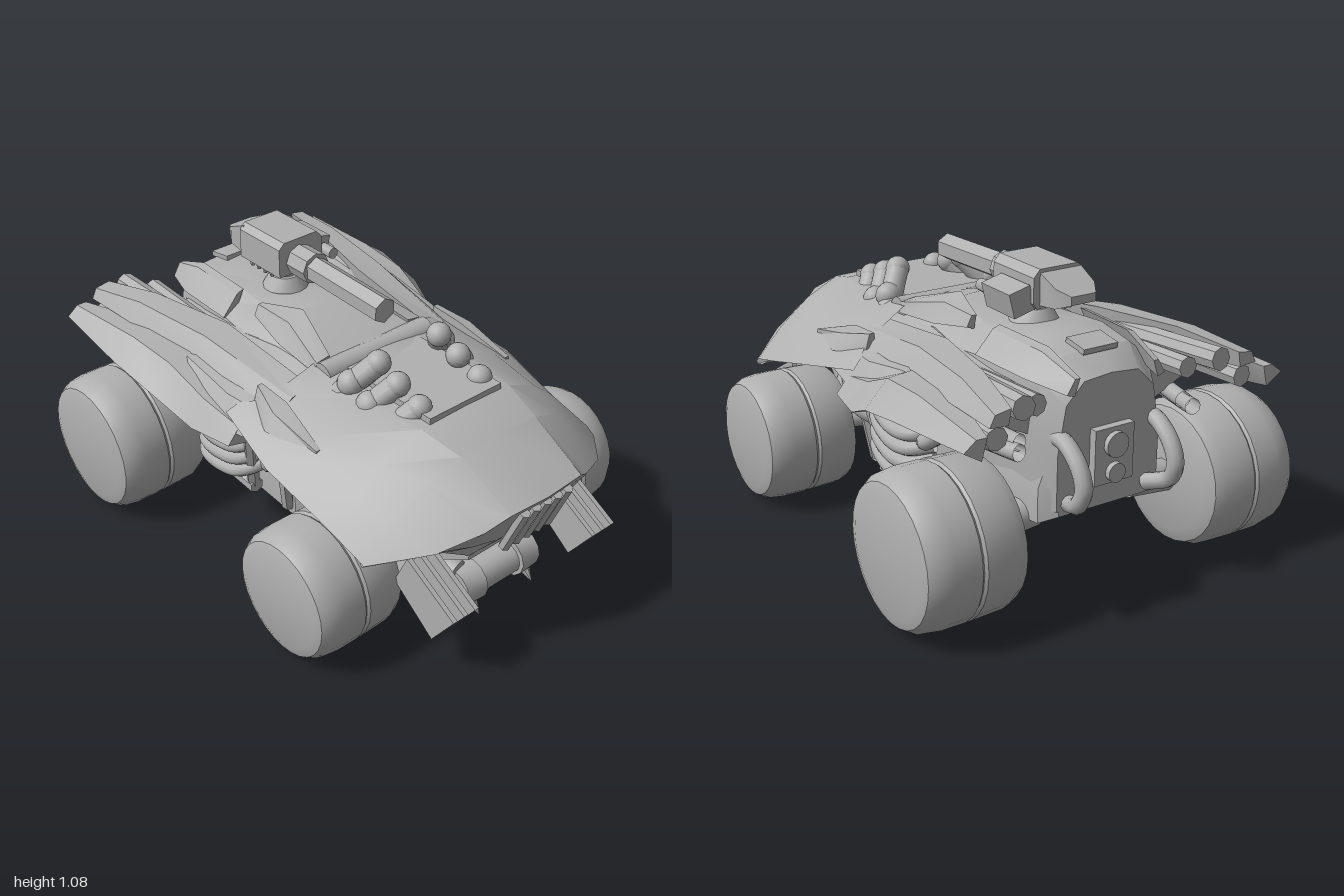
import * as THREE from 'three';
import { toCreasedNormals } from 'three/addons/utils/BufferGeometryUtils.js';

const V = (p) => new THREE.Vector3(...p);

export function createModel() {
  const root = new THREE.Group();
  const grey = new THREE.MeshStandardMaterial({ color: 0xb0b0b0, side: THREE.DoubleSide });
  grey.name = 'plainGrey';

  const add = (name, geo, x = 0, y = 0, z = 0) => {
    const m = new THREE.Mesh(geo, grey);
    m.name = name;
    m.position.set(x, y, z);
    root.add(m);
    return m;
  };
  // skin through rows of points; closed rows are capped at both ends
  const loft = (name, rows, closed, crease = 0.5) => {
    const n = rows[0].length, pos = rows.flat(2), idx = [];
    for (let i = 0; i < rows.length - 1; i++)
      for (let j = 0; j < (closed ? n : n - 1); j++) {
        const a = i * n + j, b = i * n + (j + 1) % n;
        idx.push(a, a + n, b, b, a + n, b + n);
      }
    if (closed) for (const o of [0, (rows.length - 1) * n])
      for (let j = 1; j < n - 1; j++) idx.push(o, o + (o ? j + 1 : j), o + (o ? j : j + 1));
    const g = new THREE.BufferGeometry();
    g.setAttribute('position', new THREE.Float32BufferAttribute(pos, 3));
    g.setIndex(idx);
    return add(name, toCreasedNormals(g, crease));
  };
  // half rows (centre to side) mirrored across x = 0
  const both = (row) => [...row.slice().reverse().map(([x, y, z]) => [-x, y, z]), ...row];
  // one-sided bar from rows of [z, [x, y], ...]
  const bar = (name, s, rows) => loft(name, rows.map(([z, ...r]) => r.map(([x, y]) => [s * x, y, z])), true);
  const rod = (name, a, b, r0, r1 = r0, sides = 14) => {
    const d = V(b).sub(V(a));
    const m = add(name, toCreasedNormals(new THREE.CylinderGeometry(r1, r0, d.length(), sides), 0.7));
    m.position.copy(V(a).addScaledVector(d, 0.5));
    m.quaternion.setFromUnitVectors(new THREE.Vector3(0, 1, 0), d.normalize());
    return m;
  };
  const pipe = (name, pts, r) => add(name, new THREE.TubeGeometry(new THREE.CatmullRomCurve3(pts.map(V)), 24, r, 10));
  const box = (name, w, h, d, x, y, z) => add(name, new THREE.BoxGeometry(w, h, d), x, y, z);

  // bonnet shell, front to back
  const lip = [[0, .635, .98], [.17, .635, .97], [.25, .58, .93], [.4, .53, .86], [.57, .47, .7]];
  loft('bonnet', [
    lip,
    [[0, .755, .74], [.18, .75, .74], [.32, .69, .72], [.45, .59, .71], [.575, .49, .66]],
    [[0, .795, .58], [.21, .79, .58], [.37, .71, .56], [.48, .62, .55], [.577, .53, .5]],
    [[0, .8, .3], [.24, .79, .3], [.42, .71, .3], [.52, .66, .3], [.595, .61, .22]],
    [[0, .84, .06], [.25, .82, .06], [.43, .73, .02], [.5, .7, -.06], [.54, .67, -.08]],
  ].map(both), false, 0.45);
  loft('noseUnderside', [
    lip,
    [[0, .46, .89], [.14, .47, .89], [.24, .48, .87], [.4, .49, .8], [.57, .46, .69]],
    [[0, .39, .82], [.2, .39, .82], [.28, .42, .78], [.4, .45, .74], [.56, .46, .67]],
    [[0, .36, .7], [.2, .37, .7], [.25, .42, .66], [.35, .5, .6], [.5, .55, .55]],
  ].map(both), false, 0.4);
  for (let i = -2; i <= 2; i++)
    rod('grilleBar', [i * .052, .615, .97], [i * .052, .425, .89], .021, .021, 6);

  // lower tub: z, half width, bottom, top
  loft('chassis', [
    [.82, .2, .37, .42], [.62, .22, .26, .6], [.25, .27, .21, .62], [.1, .38, .22, .62],
    [-.3, .38, .25, .62], [-.45, .28, .27, .6], [-.8, .25, .3, .55], [-.85, .2, .33, .5],
  ].map(([z, w, b, t]) => both([[0, t, z], [w * .8, t, z], [w, (t + b) / 2, z], [w, b, z], [0, b, z]])), true);

  // cabin running back into the rounded tail: z, then half outline
  loft('cabin', [
    [.1, [0, .83], [.2, .82], [.26, .76], [.3, .6], [.3, .35]],
    [-.15, [0, .905], [.13, .895], [.25, .8], [.3, .6], [.3, .35]],
    [-.34, [0, .855], [.16, .85], [.27, .78], [.32, .6], [.29, .35]],
    [-.6, [0, .885], [.15, .875], [.25, .8], [.28, .6], [.26, .35]],
    [-.76, [0, .865], [.14, .855], [.22, .79], [.25, .6], [.25, .35]],
    [-.85, [0, .8], [.11, .79], [.18, .72], [.21, .55], [.21, .35]],
  ].map(([z, ...r]) => both([...r.map(([x, y]) => [x, y, z]), [0, .35, z]])), true, 0.6);
  box('tailPanel', .16, .2, .04, 0, .52, -.86);
  box('tailVent', .14, .02, .1, 0, .87, -.74).rotation.x = -.15;
  rod('tailLamp', [0, .56, -.86], [0, .56, -.9], .045);
  rod('tailLamp', [0, .46, -.86], [0, .46, -.9], .035);
  rod('crossTube', [-.25, .79, .11], [.25, .79, .11], .05);
  box('bonnetPanel', .34, .03, .44, 0, .8, .36);

  // wheel: two tyre halves with a groove between them
  const wheel = (name, s, z, R, a, b) => {
    const m = (a + b) / 2 - .005;
    const prof = [[0, a], [R * .75, a], [R * .92, a + .02], [R * .985, a + .06], [R, m - .01], [R * .97, m],
      [R, m + .01], [R, b - .1], [R * .97, b - .045], [R * .89, b - .012], [R * .75, b], [0, b]];
    const g = new THREE.LatheGeometry(prof.map(([r, x]) => new THREE.Vector2(r, x)), 28);
    g.rotateZ(-s * Math.PI / 2);
    add(name, toCreasedNormals(g, 0.6), 0, R + .008, z);
  };

  // fang blade outline in the z-y plane
  const fang = new THREE.Shape([[.96, .3], [.73, .43], [.67, .3], [.86, .16]].map(([z, y]) => new THREE.Vector2(-z, y)));

  for (const s of [-1, 1]) {
    wheel('frontWheel', s, .453, .245, .36, .74);
    wheel('rearWheel', s, -.703, .275, .375, .77);
    rod('rearAxle', [s * .2, .3, -.7], [s * .4, .28, -.7], .06);
    for (const [y, z] of [[.38, .4], [.25, .38], [.25, .56]])
      rod('suspensionArm', [s * .15, y, z], [s * .4, .26, .455], .035);
    rod('steeringRod', [s * .15, .24, .68], [s * .34, .25, .6], .04);
    rod('damper', [s * .22, .55, .45], [s * .36, .28, .45], .045);

    // shoulder between cabin and fins
    bar('shoulder', s, [
      [.14, [.24, .78], [.46, .69], [.52, .62], [.28, .5]],
      [-.12, [.24, .8], [.5, .71], [.56, .6], [.28, .52]],
      [-.35, [.24, .79], [.5, .75], [.6, .64], [.28, .58]],
      [-.62, [.24, .76], [.46, .74], [.54, .68], [.27, .6]],
      [-.74, [.22, .74], [.36, .72], [.4, .67], [.25, .6]],
    ]);
    bar('lowerFin', s, [
      [-.02, [.5, .63], [.53, .63], [.58, .57], [.5, .55]],
      [-.2, [.42, .7], [.55, .67], [.615, .57], [.5, .55]],
      [-.38, [.42, .76], [.57, .745], [.66, .65], [.55, .61]],
      [-.6, [.46, .77], [.58, .76], [.675, .69], [.56, .62]],
      [-.97, [.56, .745], [.6, .745], [.645, .71], [.58, .67]],
    ]);
    bar('upperFin', s, [
      [.1, [.3, .77], [.38, .75], [.43, .71], [.32, .68]],
      [-.35, [.32, .83], [.43, .82], [.48, .74], [.33, .7]],
      [-.7, [.4, .84], [.48, .83], [.53, .76], [.42, .74]],
      [-.95, [.46, .81], [.52, .8], [.54, .76], [.47, .755]],
    ]);
    rod('exhaustTube', [s * .36, .75, -.25], [s * .4, .79, -.93], .042, .042, 8);
    rod('exhaustTube', [s * .31, .73, -.3], [s * .31, .76, -.87], .038, .038, 8);
    rod('exhaustTube', [s * .46, .7, -.3], [s * .5, .71, -.93], .04, .04, 8);

    // small blade on the bonnet side and roof pillar
    bar('bonnetBlade', s, [
      [.34, [.45, .69], [.47, .69], [.47, .67], [.45, .67]],
      [.12, [.42, .76], [.48, .74], [.52, .68], [.42, .68]],
      [-.02, [.42, .77], [.44, .77], [.46, .7], [.42, .7]],
    ]);
    bar('roofPillar', s, [
      [.08, [.19, .84], [.25, .83], [.26, .79], [.2, .79]],
      [-.14, [.13, .91], [.2, .88], [.25, .81], [.14, .85]],
      [-.32, [.18, .88], [.2, .88], [.22, .84], [.19, .83]],
    ]);
    bar('tailRail', s, [
      [-.45, [.17, .88], [.2, .87], [.27, .79], [.22, .78]],
      [-.72, [.16, .88], [.19, .87], [.26, .79], [.2, .78]],
      [-.88, [.15, .82], [.17, .82], [.2, .77], [.17, .76]],
    ]);

    // engine stacks
    [[.5, .82], [.39, .86], [.29, .9]].forEach(([z, y]) => {
      rod('engineStack', [s * .25, y - .15, z - .1], [s * .145, y - .01, z], .043);
      add('stackCap', new THREE.SphereGeometry(.046, 14, 10), s * .145, y - .01, z);
      add('stackElbow', new THREE.SphereGeometry(.05, 14, 10), s * .22, y - .09, z - .06);
    });

    // side exhaust headers inside a bent frame
    for (let i = 0; i < 4; i++) {
      const y = .34 + i * .055;
      pipe('headerPipe', [[s * .36, y + .07, -.04], [s * .45, y + .04, -.08], [s * .47, y, -.16],
        [s * .47, y - .005, -.32], [s * .4, y + .02, -.4]], .027);
    }
    pipe('upperPipe', [[s * .36, .47, -.3], [s * .45, .5, -.42], [s * .42, .58, -.55], [s * .36, .6, -.85]], .03);
    pipe('innerPipe', [[s * .34, .55, -.3], [s * .42, .56, -.4], [s * .38, .62, -.6], [s * .34, .62, -.82]], .03);
    pipe('framePipe', [[s * .46, .6, .12], [s * .46, .48, .06], [s * .42, .44, 0], [s * .36, .4, -.04]], .03);
    rod('frameStrut', [s * .48, .62, -.03], [s * .42, .29, -.1], .025, .025, 6);
    rod('frameStrut', [s * .42, .28, -.08], [s * .42, .3, -.34], .03, .03, 6);
    rod('frameStrut', [s * .44, .62, .1], [s * .38, .25, .06], .025, .025, 6);
    add('pipeJoint', new THREE.SphereGeometry(.045, 14, 10), s * .38, .49, .18);
    rod('frontPipe', [s * .38, .49, .18], [s * .32, .52, .55], .03);

    // looped pipes at the tail
    pipe('tailPipe', [[s * .19, .6, -.78], [s * .19, .6, -.86], [s * .19, .54, -.94], [s * .19, .47, -.968],
      [s * .19, .41, -.94], [s * .16, .37, -.85]], .03);

    // fangs beside the bumper
    for (const x of [.295, .345, .395]) {
      const g = new THREE.ExtrudeGeometry(fang, { depth: .018, bevelEnabled: false });
      g.rotateY(Math.PI / 2);
      add('fang', g, s * x - .009);
    }

    // bumper end, mount and spike
    rod('bumperEnd', [s * .09, .18, .74], [s * .18, .18, .74], .08, .075, 12);
    rod('bumperMount', [s * .17, .25, .74], [s * .2, .28, .6], .045);
    rod('bumperSpike', [s * .135, .13, .78], [s * .135, .09, .825], .025, .002, 8);
  }
  rod('bumperBar', [-.12, .175, .74], [.12, .175, .74], .062);

  // roof gun
  rod('gunBase', [0, .86, -.41], [0, .91, -.41], .09, .06);
  rod('gunPost', [0, .9, -.41], [0, .96, -.41], .045);
  rod('gunBarrel', [0, .985, .16], [0, 1, -.28], .05, .05, 6);
  rod('barrelCollar', [0, 1, -.22], [0, 1, -.32], .062, .062, 8);
  const face = new THREE.Shape([[-.095, .95], [.095, .95], [.11, .97], [.11, 1.06], [.085, 1.088], [-.07, 1.088], [-.095, 1.065]]
    .map((p) => new THREE.Vector2(...p)));
  add('gunBody', new THREE.ExtrudeGeometry(face, { depth: .24, bevelEnabled: false }), 0, 0, -.56);
  loft('gunRear', [[-.55, .085, .96, 1.08], [-.64, .08, .97, 1.04], [-.69, .05, .99, 1.02]]
    .map(([z, w, b, t]) => [[-w, b, z], [w, b, z], [w, t, z], [-w, t, z]]), true);
  const pod = box('gunPod', .085, .09, .17, .145, .98, -.46);
  pod.rotation.z = -.25;
  rod('podBarrel', [.15, .98, -.36], [.15, .98, -.3], .022);
  for (let i = 0; i < 4; i++) rod('cartridge', [-.07, .96, -.4 - i * .04], [-.07, .92, -.4 - i * .04], .013, .008, 6);

  return root;
}
